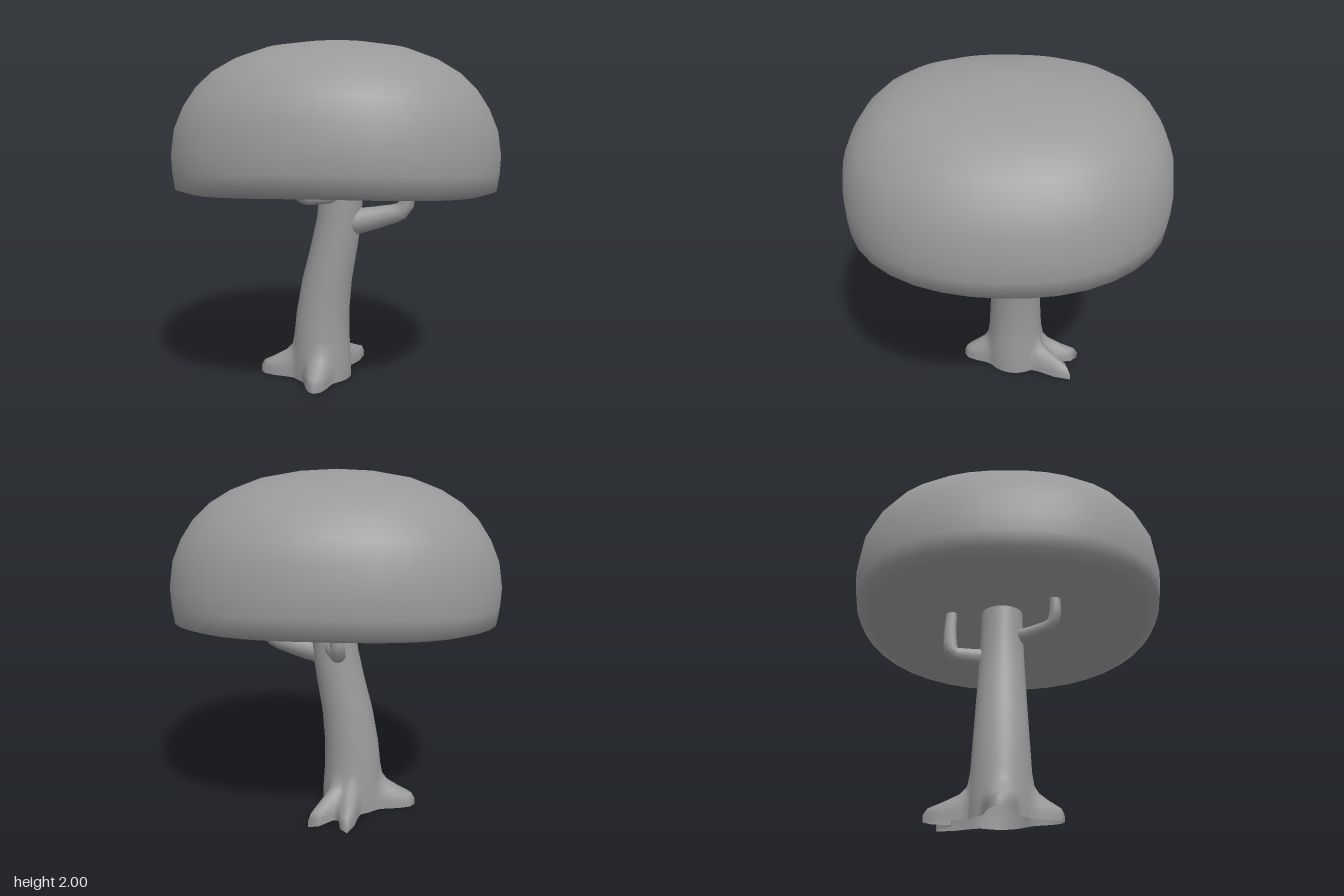
import * as THREE from 'three';

const material = new THREE.MeshStandardMaterial({ color: 0x999999, side: THREE.DoubleSide });

// Smooth skin over closed rings; point(row, angle) returns a Vector3
function loft(name, rows, cols, point) {
  const pos = [], idx = [];
  for (let r = 0; r < rows; r++) {
    for (let c = 0; c < cols; c++) {
      pos.push(...point(r, (c / cols) * Math.PI * 2).toArray());
      if (r === rows - 1) continue;
      const a = r * cols + c, b = r * cols + ((c + 1) % cols);
      idx.push(a, a + cols, b, b, a + cols, b + cols);
    }
  }
  const geo = new THREE.BufferGeometry();
  geo.setAttribute('position', new THREE.Float32BufferAttribute(pos, 3));
  geo.setIndex(idx);
  geo.computeVertexNormals();
  const mesh = new THREE.Mesh(geo, material);
  mesh.name = name;
  return mesh;
}

// Squarish dome with a hollow underside; it droops toward the two x sides
function makeCanopy() {
  const profile = [
    [0, 1.3], [0.3, 1.29], [0.6, 1.25], [0.8, 1.195], [0.9, 1.17], [0.982, 1.198],
    [0.995, 1.29], [1, 1.39], [0.978, 1.54], [0.925, 1.655], [0.85, 1.757], [0.755, 1.837],
    [0.63, 1.902], [0.45, 1.959], [0.22, 1.991], [0, 2],
  ];
  const n = 2.3;
  return loft('canopy', profile.length, 40, (r, a) => {
    const [s, y] = profile[r];
    const c = Math.cos(a), d = Math.sin(a);
    const k = s / Math.pow(Math.abs(c) ** n + Math.abs(d) ** n, 1 / n);
    const droop = (y > 1.4 ? 0.042 : 0.027) * s * s * (c * c - d * d);
    return new THREE.Vector3(0.933 * k * c, y - droop, 0.907 * k * d - 0.003);
  });
}

// Leaning trunk, open below, whose base spreads into roots
function makeTrunk() {
  // direction, reach beyond the trunk, angular width
  const roots = [
    [Math.PI, 0.2, 0.3],
    [Math.PI / 2, 0.155, 0.3],
    [Math.atan2(-0.37, 0.22), 0.25, 0.19],
    [Math.atan2(-0.42, 0.01), 0.235, 0.19],
  ];
  // height, centre x, radius, root spread
  const rings = [
    [0, -0.1, 0.18, 1], [0.04, -0.1, 0.18, 1], [0.075, -0.1, 0.18, 0.9],
    [0.11, -0.1, 0.178, 0.55], [0.15, -0.1, 0.176, 0.2], [0.19, -0.1, 0.173, 0.04],
    [0.26, -0.1, 0.168, 0], [0.4, -0.093, 0.16, 0], [0.6, -0.067, 0.15, 0],
    [0.8, -0.025, 0.141, 0], [0.97, 0.006, 0.134, 0], [1.15, 0.02, 0.128, 0],
    [1.36, 0.025, 0.124, 0],
  ];
  return loft('trunk', rings.length, 56, (r, a) => {
    const [y, cx, radius, spread] = rings[r];
    let reach = radius;
    for (const [dir, length, width] of roots) {
      const diff = Math.atan2(Math.sin(a - dir), Math.cos(a - dir));
      reach += spread * length * Math.exp(-((diff / width) ** 2));
    }
    return new THREE.Vector3(cx + reach * Math.cos(a), y, -0.04 + reach * Math.sin(a));
  });
}

// Tapered limb that bends up into the canopy
function makeBranch(name, points, r0, r1) {
  const curve = new THREE.CatmullRomCurve3(points.map((p) => new THREE.Vector3(...p)));
  const steps = 12;
  const { normals, binormals } = curve.computeFrenetFrames(steps, false);
  return loft(name, steps + 1, 10, (r, a) => {
    const t = r / steps;
    const radius = r1 + (r0 - r1) * (1 - t) ** 1.3;
    return curve.getPointAt(t)
      .addScaledVector(normals[r], radius * Math.cos(a))
      .addScaledVector(binormals[r], -radius * Math.sin(a));
  });
}

export function createModel() {
  const tree = new THREE.Group();
  tree.name = 'tree';
  tree.add(
    makeCanopy(),
    makeTrunk(),
    makeBranch('leftBranch',
      [[0.08, 0.955, -0.02], [0.25, 0.99, -0.02], [0.39, 1.04, -0.01], [0.42, 1.17, 0], [0.425, 1.32, 0]], 0.083, 0.032),
    makeBranch('backBranch',
      [[0.01, 1.0, -0.13], [-0.02, 0.998, -0.25], [-0.04, 1.008, -0.33], [-0.03, 1.1, -0.347], [0, 1.34, -0.345]], 0.054, 0.032),
    makeBranch('frontBranch',
      [[-0.01, 1.125, 0.05], [-0.09, 1.12, 0.15], [-0.17, 1.135, 0.25], [-0.195, 1.19, 0.27], [-0.2, 1.33, 0.27]], 0.047, 0.031),
  );
  return tree;
}
